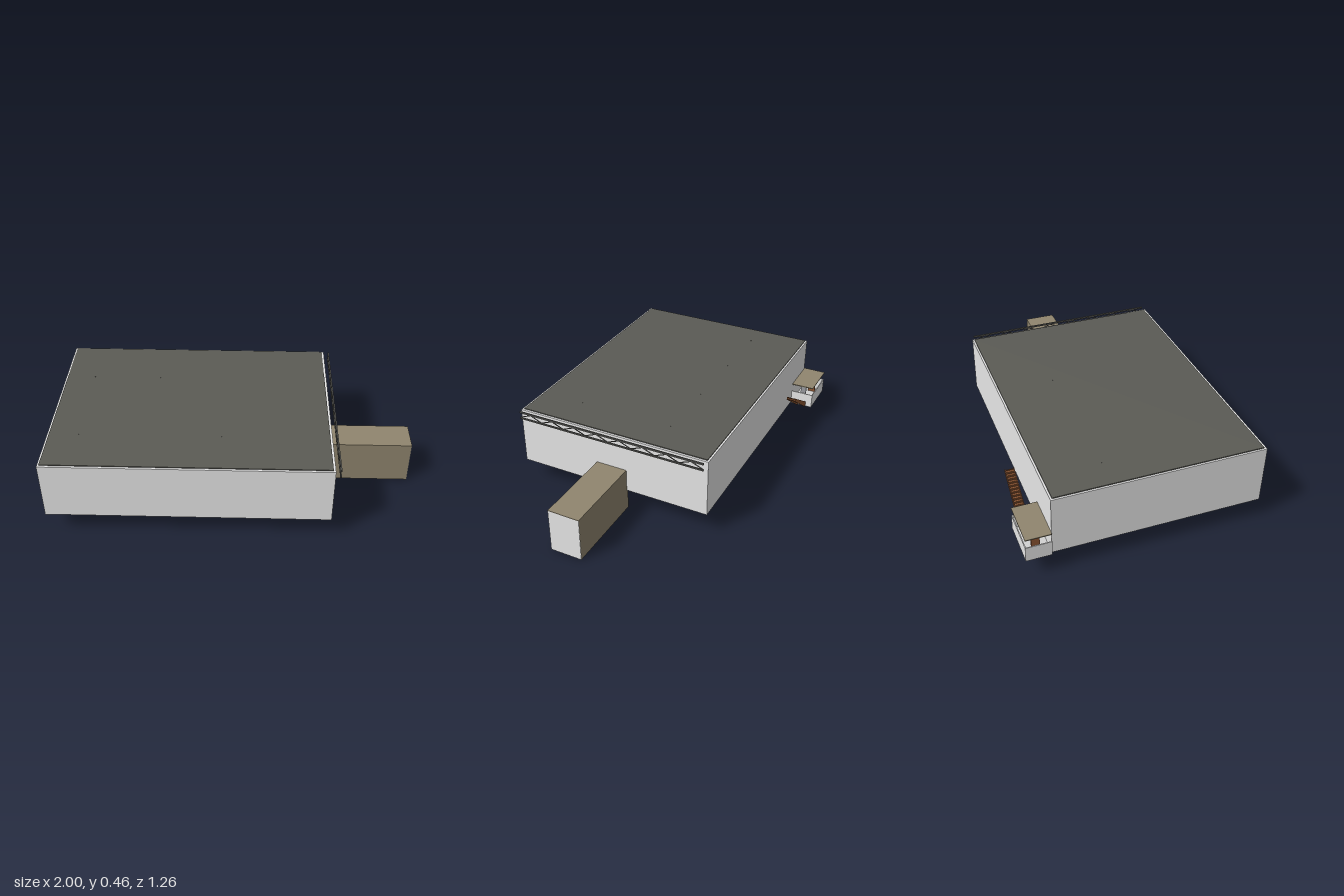
import * as THREE from 'three';

const mat = (name, color) => {
  const m = new THREE.MeshStandardMaterial({ color });
  m.name = name;
  return m;
};

export function createModel() {
  const model = new THREE.Group();
  const wall = mat('light grey wall', 0xe7e7e7);
  const roofing = mat('dark roofing', 0x5b5b55);
  const concrete = mat('pale concrete floor', 0xd2d2d2);
  const cladding = mat('tan cladding', 0x90866f);
  const wood = mat('brown wood', 0x8f5733);
  const steel = mat('dark steel', 0x5b5b57);
  const doorGrey = mat('grey door', 0x9a9ca0);

  const add = (parent, name, geometry, material) => {
    const mesh = new THREE.Mesh(geometry, material);
    mesh.name = name;
    parent.add(mesh);
    return mesh;
  };
  // Box given by its limits on each axis
  const box = (parent, name, material, x0, x1, y0, y1, z0, z1) => {
    const g = new THREE.BoxGeometry(x1 - x0, y1 - y0, z1 - z0);
    g.translate((x0 + x1) / 2, (y0 + y1) / 2, (z0 + z1) / 2);
    return add(parent, name, g, material);
  };
  // Side outline in x and y, extruded from z0 to z1
  const prism = (parent, name, material, points, z0, z1) => {
    const shape = new THREE.Shape(points.map(([x, y]) => new THREE.Vector2(x, y)));
    const g = new THREE.ExtrudeGeometry(shape, { depth: z1 - z0, bevelEnabled: false });
    g.translate(0, 0, z0);
    return add(parent, name, g, material);
  };
  const group = (name) => {
    const g = new THREE.Group();
    g.name = name;
    model.add(g);
    return g;
  };

  // Main hall with slightly inset floor and roof slabs
  const hall = group('hall');
  box(hall, 'hallWalls', wall, -0.99, 0.527, 0.12, 0.45, -0.495, 0.628);
  box(hall, 'hallRoof', roofing, -0.98, 0.515, 0.445, 0.455, -0.485, 0.616);
  box(hall, 'hallFloor', concrete, -0.982, 0.519, 0.113, 0.123, -0.487, 0.619);
  for (let i = 0; i < 4; i++) {
    for (const z of [-0.18, 0.36]) {
      const x = -0.82 + i * 0.38;
      box(hall, 'columnCap', steel, x - 0.002, x + 0.002, 0.45, 0.456, z - 0.002, z + 0.002);
    }
  }

  // Roof truss standing off the left wall
  const truss = group('truss');
  const zA = -0.481, zB = 0.618, panels = 8, step = (zB - zA) / panels;
  box(truss, 'topChord', steel, 0.55, 0.558, 0.446, 0.455, zA, zB);
  box(truss, 'bottomChord', steel, 0.55, 0.558, 0.41, 0.418, zA, zB);
  for (let i = 0; i < panels * 2; i++) {
    const rising = i % 2 === 0;
    const g = new THREE.BoxGeometry(0.004, 0.004, Math.hypot(step / 2, 0.028));
    const web = add(truss, 'webBar', g, steel);
    web.position.set(0.554, 0.432, zA + (i + 0.5) * step / 2);
    web.rotation.x = (rising ? -1 : 1) * Math.atan2(0.028, step / 2);
  }

  // Covered entrance, open below a sloping ramp
  const entrance = group('entrance');
  for (const [z, s] of [[0.157, -1], [-0.023, 1]]) {
    const a = z + s * 0.003, b = z + s * 0.006;
    box(entrance, 'sideCladding', cladding, 0.515, 0.997, 0, 0.249, Math.min(z, a), Math.max(z, a));
    box(entrance, 'sideLining', wall, 0.515, 0.997, 0, 0.245, Math.min(a, b), Math.max(a, b));
  }
  box(entrance, 'entranceRoof', cladding, 0.515, 1, 0.245, 0.25, -0.023, 0.157);
  box(entrance, 'endWall', wall, 0.994, 1, 0, 0.247, -0.0225, 0.1565);
  prism(entrance, 'ramp', concrete,
    [[0.515, 0.115], [0.994, 0], [0.994, 0.006], [0.515, 0.122]], -0.017, 0.151);

  // Rear booth with low walls and a raised thin roof
  const booth = group('booth');
  box(booth, 'boothFloor', concrete, -0.998, -0.767, 0.113, 0.12, -0.624, -0.495);
  box(booth, 'backWall', wall, -1, -0.762, 0.115, 0.2, -0.628, -0.623);
  box(booth, 'sideWall', wall, -1, -0.995, 0.115, 0.2, -0.623, -0.495);
  box(booth, 'stairWall', wall, -0.767, -0.762, 0.115, 0.2, -0.623, -0.495);
  box(booth, 'boothRoof', cladding, -1, -0.762, 0.245, 0.25, -0.628, -0.495);
  box(booth, 'woodDoor', wood, -0.962, -0.954, 0.12, 0.245, -0.588, -0.545);
  box(booth, 'greyDoor', doorGrey, -0.779, -0.77, 0.12, 0.245, -0.583, -0.55);

  // Open stair: two sloping stringers with treads between
  const stair = group('stair');
  const xLow = -0.757, xHigh = -0.521, treads = 16;
  const outline = [[xLow, 0.125], [xLow + 0.02, 0.125], [xHigh, 0.274], [xHigh, 0.294], [xLow, 0.15]];
  for (const z of [-0.592, -0.545]) prism(stair, 'stringer', wood, outline, z, z + 0.004);
  for (let i = 0; i < treads; i++) {
    const t = (i + 0.5) / treads;
    const x = xLow + t * (xHigh - xLow), y = 0.129 + t * 0.153;
    box(stair, 'tread', wood, x - 0.008, x + 0.007, y, y + 0.004, -0.588, -0.545);
    box(stair, 'riser', wood, x + 0.004, x + 0.007, y, y + 0.01, -0.588, -0.545);
  }

  return model;
}
